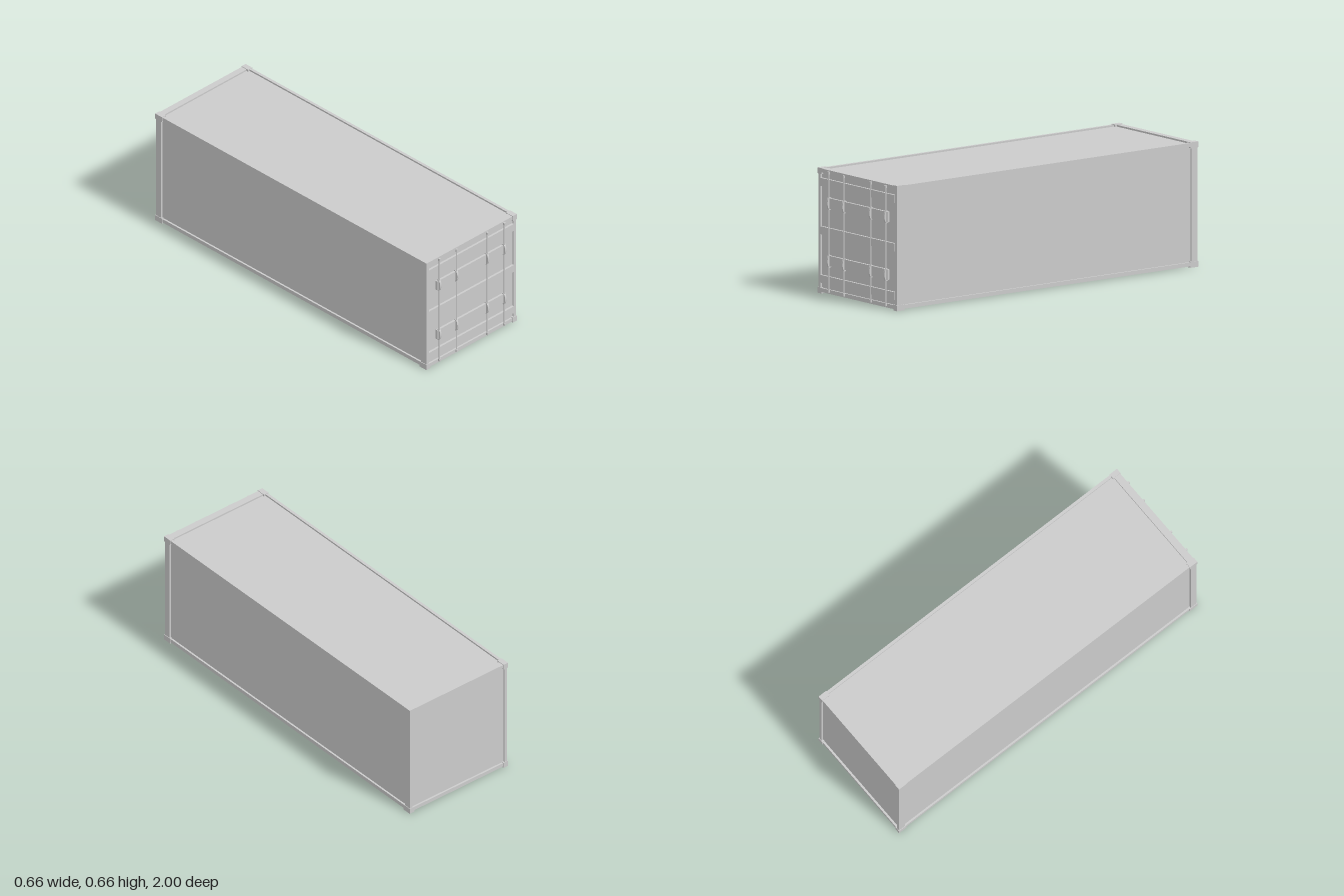
import * as THREE from 'three';

const material = new THREE.MeshStandardMaterial({ color: 0xcccccc, side: THREE.DoubleSide });

// Overall frame extents
const X = 0.33, H = 0.66, FRONT = 0.988, BACK = -1;
const DOOR_Z = 0.975, RIB_Z = 0.987, ROD_Z = 0.989;

function add(group, name, geometry, x = 0, y = 0, z = 0) {
  const mesh = new THREE.Mesh(geometry, material);
  mesh.name = name;
  mesh.position.set(x, y, z);
  group.add(mesh);
  return mesh;
}

// Box given by its minimum and maximum on each axis
function addBox(group, name, x0, x1, y0, y1, z0, z1) {
  return add(group, name, new THREE.BoxGeometry(x1 - x0, y1 - y0, z1 - z0),
    (x0 + x1) / 2, (y0 + y1) / 2, (z0 + z1) / 2);
}

function rectangle(path, x0, x1, y0, y1) {
  path.moveTo(x0, y0);
  path.lineTo(x1, y0);
  path.lineTo(x1, y1);
  path.lineTo(x0, y1);
  path.closePath();
  return path;
}

function buildFrame() {
  const frame = new THREE.Group();
  frame.name = 'frame';
  const inset = 0.003;
  for (const s of [-1, 1]) {
    const span = (a, b) => (s > 0 ? [a, b] : [-b, -a]);
    // Castings and posts at both ends
    for (const front of [true, false]) {
      const castZ = front ? [FRONT - 0.05, FRONT] : [BACK, BACK + 0.05];
      const postZ = front ? [FRONT - 0.042, FRONT - inset] : [BACK + inset, BACK + 0.042];
      addBox(frame, 'cornerCasting', ...span(0.3, X), 0, 0.031, ...castZ);
      addBox(frame, 'cornerCasting', ...span(0.3, X), H - 0.031, H, ...castZ);
      addBox(frame, 'cornerPost', ...span(0.31, X - inset), 0.02, H - 0.02, ...postZ);
    }
    // Long rails
    addBox(frame, 'bottomSideRail', ...span(0.311, X - inset), 0.007, 0.028, BACK + 0.03, FRONT - 0.03);
    addBox(frame, 'topSideRail', ...span(0.311, X - inset), 0.637, H - inset, BACK + 0.03, FRONT - 0.03);
  }
  // Cross beams of both ends
  for (const [z0, z1] of [[FRONT - 0.042, FRONT - inset], [BACK + inset, BACK + 0.038]]) {
    addBox(frame, 'topEndBeam', -0.31, 0.31, 0.637, H - inset, z0, z1);
    addBox(frame, 'bottomEndBeam', -0.31, 0.31, 0.007, 0.028, z0, z1);
  }
  return frame;
}

function buildPanels() {
  const panels = new THREE.Group();
  panels.name = 'panels';
  const wallH = H - 0.02, midY = H / 2, length = FRONT - BACK - 0.03, midZ = (FRONT + BACK) / 2;
  for (const s of [-1, 1]) {
    add(panels, 'sideWall', new THREE.PlaneGeometry(length, wallH), s * 0.317, midY, midZ)
      .rotation.y = s * Math.PI / 2;
  }
  add(panels, 'roof', new THREE.PlaneGeometry(0.634, length), 0, 0.648, midZ).rotation.x = -Math.PI / 2;
  add(panels, 'backWall', new THREE.PlaneGeometry(0.634, wallH), 0, midY, BACK + 0.014).rotation.y = Math.PI;
  return panels;
}

function buildDoor() {
  const door = new THREE.Group();
  door.name = 'door';
  // Pressed ribs: half width, bottom, top
  const ribs = [
    [0.309, 0.056, 0.097], [0.25, 0.153, 0.208], [0.309, 0.311, 0.353],
    [0.25, 0.456, 0.511], [0.309, 0.566, 0.608],
  ];
  const sheet = rectangle(new THREE.Shape(), -0.317, 0.317, 0.01, 0.65);
  for (const [w, y0, y1] of ribs) {
    sheet.holes.push(rectangle(new THREE.Path(), -w, w, y0, y1));
    // Rib is hollow behind: leave out the rear face of the box
    const rib = addBox(door, 'doorRib', -w, w, y0, y1, DOOR_Z, RIB_Z);
    rib.geometry.setIndex(Array.from(rib.geometry.index.array).slice(0, 30));
    rib.geometry.clearGroups();
  }
  add(door, 'doorSheet', new THREE.ShapeGeometry(sheet), 0, 0, DOOR_Z);

  // Locking rods with end keepers and rounded clamps
  for (const x of [-0.237, -0.112, 0.112, 0.237]) {
    add(door, 'lockRod', new THREE.CylinderGeometry(0.0035, 0.0035, 0.63, 12), x, 0.332, ROD_Z);
    for (const y of [0.021, 0.643]) {
      addBox(door, 'rodKeeper', x - 0.005, x + 0.005, y - 0.007, y + 0.007, 0.98, 0.995);
    }
    for (const y of [0.179, 0.484]) {
      const clamp = new THREE.CylinderGeometry(1, 1, 0.01, 32);
      clamp.rotateZ(Math.PI / 2).scale(1, 0.034, 0.016);
      add(door, 'rodClamp', clamp, x, y, 0.984);
    }
  }
  return door;
}

export function createModel() {
  const model = new THREE.Group();
  model.name = 'shippingContainer';
  model.add(buildFrame(), buildPanels(), buildDoor());
  return model;
}
